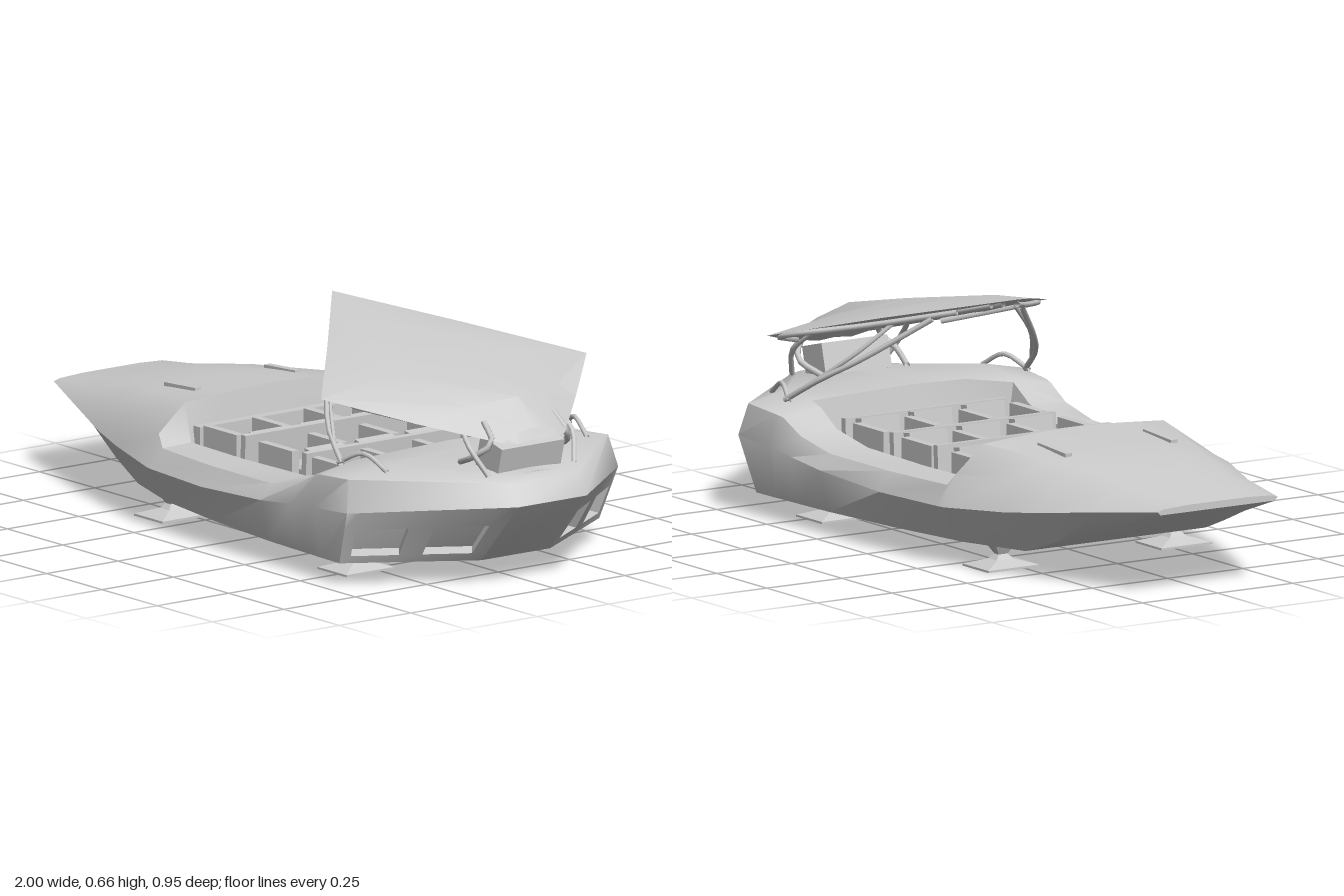
import * as THREE from 'three';
import { toCreasedNormals } from 'three/addons/utils/BufferGeometryUtils.js';

const material = new THREE.MeshStandardMaterial({ color: 0xcccccc, side: THREE.DoubleSide });
const mirror = (p) => [p[0], p[1], -p[2]];
const lerp = (a, b, t) => a.map((v, i) => v + (b[i] - v) * t);

// Collects quads, each with its mirror image, and turns them into a mesh
class Skin {
  constructor() { this.pos = []; }
  tri(a, b, c) {
    const [A, B, C] = [a, b, c].map((p) => new THREE.Vector3(...p));
    if (B.sub(A).cross(C.sub(A)).length() > 1e-7) this.pos.push(...a, ...b, ...c);
  }
  quad(a, b, c, d) { this.tri(a, b, c); this.tri(a, c, d); }
  pair(a, b, c, d) {
    this.quad(a, b, c, d);
    this.quad(...[d, c, b, a].map(mirror));
  }
  // Half sections run from the bottom centre, round the side, to the top centre
  loft(sections, skip = () => false) {
    for (let s = 0; s < sections.length - 1; s++) {
      const p = sections[s], q = sections[s + 1];
      for (let i = 0; i < p.length - 1; i++) {
        if (!skip(s, i)) this.pair(p[i], q[i], q[i + 1], p[i + 1]);
      }
    }
  }
  cap(p, facing) {
    for (let i = 0; i < p.length - 1; i++) {
      const q = [p[i], mirror(p[i]), mirror(p[i + 1]), p[i + 1]];
      this.quad(...(facing > 0 ? q : q.reverse()));
    }
  }
  mesh(name, crease) {
    const g = new THREE.BufferGeometry();
    g.setAttribute('position', new THREE.Float32BufferAttribute(this.pos, 3));
    const m = new THREE.Mesh(toCreasedNormals(g, crease), material);
    m.name = name;
    return m;
  }
}

function box(name, w, h, d, x, y, z, tilt = 0) {
  const m = new THREE.Mesh(new THREE.BoxGeometry(w, h, d), material);
  m.position.set(x, y, z);
  m.rotation.z = tilt;
  m.name = name;
  return m;
}

function rod(name, points, r) {
  const path = new THREE.CatmullRomCurve3(points.map((p) => new THREE.Vector3(...p)));
  const m = new THREE.Mesh(new THREE.TubeGeometry(path, 8, r, 6), material);
  m.name = name;
  return m;
}

function hull() {
  const skin = new Skin();
  // x, then [y, z] of bottom edge, waist, shoulder, inner rim, floor edge, and centre height
  const rows = [
    [-1, [0.24, 0.19], [0.25, 0.2], [0.256, 0.18], [0.26, 0.1], [0.26, 0.05], 0.26],
    [-0.8, [0.175, 0.225], [0.225, 0.275], [0.27, 0.22], [0.288, 0.15], [0.292, 0.07], 0.294],
    [-0.62, [0.112, 0.275], [0.2, 0.34], [0.275, 0.29], [0.312, 0.2], [0.322, 0.1], 0.326],
    [-0.49, [0.067, 0.3], [0.185, 0.377], [0.27, 0.33], [0.32, 0.24], [0.332, 0.12], 0.336],
    [-0.28, [0.065, 0.365], [0.17, 0.432], [0.26, 0.39], [0.335, 0.3], [0.345, 0.15], 0.35],
    [-0.25, [0.065, 0.37], [0.17, 0.437], [0.225, 0.4], [0.228, 0.3], [0.17, 0.29], 0.17],
    [0, [0.065, 0.41], [0.17, 0.46], [0.225, 0.425], [0.228, 0.31], [0.17, 0.3], 0.17],
    [0.28, [0.065, 0.44], [0.185, 0.47], [0.228, 0.435], [0.232, 0.31], [0.17, 0.3], 0.17],
    [0.42, [0.065, 0.447], [0.2, 0.473], [0.255, 0.44], [0.262, 0.32], [0.17, 0.3], 0.17],
    [0.5, [0.065, 0.45], [0.21, 0.475], [0.295, 0.445], [0.31, 0.32], [0.17, 0.3], 0.17],
    [0.53, [0.065, 0.452], [0.21, 0.475], [0.3, 0.45], [0.325, 0.33], [0.33, 0.18], 0.335],
  ];
  const sections = rows.map(([x, ...r]) => {
    const top = r.pop();
    return [[x, r[0][0], 0], ...r.map(([y, z]) => [x, y, z]), [x, top, 0]];
  });
  // Raked tail: each corner ends at its own x
  const tail = [[0.62, 0.065, 0], [0.62, 0.065, 0.455], [0.68, 0.22, 0.475], [0.66, 0.31, 0.455],
    [0.66, 0.335, 0.33], [0.64, 0.335, 0.16], [0.64, 0.34, 0]];
  const stern = [[0.83, 0.065, 0], [0.83, 0.065, 0.12], [0.995, 0.245, 0.12], [0.955, 0.305, 0.12],
    [0.94, 0.315, 0.1], [0.93, 0.32, 0.05], [0.93, 0.322, 0]];
  sections.push(tail, stern);
  const last = sections.length - 2;
  skin.loft(sections, (s, i) => s === last && i === 1);
  skin.cap(sections[0], -1);
  skin.cap(stern, 1);

  // Lower tail panels with two sunken exhaust ports on each side
  const us = [0, 0.07, 0.4, 0.56, 0.9, 1], vs = [0, 0.14, 0.66, 1];
  const at = (u, v) => lerp(lerp(tail[1], stern[1], u), lerp(tail[2], stern[2], u), v);
  for (let i = 0; i < 5; i++) {
    for (let j = 0; j < 3; j++) {
      const o = [at(us[i], vs[j]), at(us[i + 1], vs[j]), at(us[i + 1], vs[j + 1]), at(us[i], vs[j + 1])];
      if (j !== 1 || i % 2 === 0) { skin.pair(...o); continue; }
      const n = o.map((p) => [p[0] - 0.035, p[1] + 0.01, p[2] - 0.028]);
      for (let k = 0; k < 4; k++) skin.pair(o[k], o[(k + 1) % 4], n[(k + 1) % 4], n[k]);
      skin.pair(...n);
    }
  }
  return skin.mesh('hull', 0.85);
}

// Diamond canopy, raised on its rear hinge
function canopy() {
  const skin = new Skin();
  const ridge = [[0, 0.662, 0], [0.3, 0.618, 0], [0.55, 0.575, 0], [0.84, 0.515, 0], [0.91, 0.44, 0]];
  const edge = [[0, 0.662, 0], [0.3, 0.588, 0.25], [0.55, 0.52, 0.465], [0.74, 0.458, 0.28], [0.91, 0.41, 0.11]];
  skin.loft(ridge.map((c, i) => {
    const t = i === 0 ? 0 : 0.035;
    const mid = lerp(c, edge[i], 0.5);
    const shift = (p, d) => [p[0], p[1] + d, p[2]];
    return [shift(c, -t), shift(mid, -t * 0.7), edge[i], shift(mid, t * 0.25), c];
  }));
  return skin.mesh('canopy', 0.5);
}

function seats() {
  const g = new THREE.Group();
  g.name = 'seats';
  [-0.03, 0.22, 0.46].forEach((x, row) => {
    // The front wall stands taller than the ones behind
    g.add(box('seatBackWall', 0.02, row ? 0.11 : 0.125, row ? 0.54 : 0.58, x, 0.225, 0, -0.06));
    for (const z of [-0.26, -0.09, 0.09, 0.26]) g.add(box('armrest', 0.15, 0.1, 0.025, x - 0.125, 0.225, z));
    for (const z of [-0.175, 0, 0.175]) {
      g.add(box('seatCushion', 0.15, 0.04, 0.135, x - 0.11, 0.195, z, 0.08));
      g.add(box('seatBack', 0.03, 0.09, 0.125, x - 0.03, 0.235, z, -0.15));
    }
  });
  return g;
}

// Flared foot on a slim waisted leg, four-sided
function landingPad(x, z) {
  const profile = [[0, 0], [0.092, 0], [0.092, 0.006], [0.03, 0.022], [0.016, 0.036], [0.038, 0.068]];
  const g = new THREE.LatheGeometry(profile.map((p) => new THREE.Vector2(...p)), 4, Math.PI / 4);
  const pad = new THREE.Mesh(toCreasedNormals(g, 0.4), material);
  pad.name = 'landingPad';
  pad.scale.z = 1.3;
  pad.position.set(x, 0, z);
  return pad;
}

export function createModel() {
  const model = new THREE.Group();
  model.add(hull(), canopy(), seats());

  // Instrument shelf behind the bow, hinge housing on the tail
  model.add(box('dashboard', 0.03, 0.1, 0.56, -0.25, 0.22, 0));
  model.add(box('hingeHousing', 0.1, 0.09, 0.22, 0.85, 0.36, 0, -0.25));

  for (const side of [-1, 1]) {
    for (const x of [-0.35, 0.48]) model.add(landingPad(x, side * 0.288));
    // Canopy supports, hinges and ribs
    model.add(rod('canopyStrut', [[0.56, 0.33, side * 0.4], [0.45, 0.4, side * 0.36], [0.35, 0.465, side * 0.29], [0.2, 0.59, side * 0.15]], 0.008));
    model.add(rod('canopyStay', [[0.5, 0.37, side * 0.38], [0.37, 0.48, side * 0.29], [0.31, 0.57, side * 0.2]], 0.006));
    model.add(rod('canopyBrace', [[0.54, 0.33, side * 0.4], [0.62, 0.365, side * 0.37], [0.7, 0.325, side * 0.35]], 0.007));
    model.add(rod('hingeArm', [[0.76, 0.335, side * 0.14], [0.85, 0.37, side * 0.16], [0.89, 0.41, side * 0.13], [0.84, 0.46, side * 0.12]], 0.009));
    model.add(rod('hingeLink', [[0.9, 0.32, side * 0.15], [0.85, 0.4, side * 0.18], [0.78, 0.46, side * 0.16]], 0.008));
    model.add(rod('canopyRib', [[0.1, 0.63, side * 0.02], [0.35, 0.565, side * 0.1], [0.6, 0.52, side * 0.15], [0.84, 0.46, side * 0.1]], 0.008));
    model.add(rod('edgeRib', [[0.15, 0.612, side * 0.1], [0.35, 0.56, side * 0.26], [0.54, 0.517, side * 0.42], [0.74, 0.452, side * 0.24]], 0.008));
    model.add(box('bowVent', 0.14, 0.012, 0.022, -0.45, 0.332, side * 0.175, 0.06));
  }
  return model;
}
